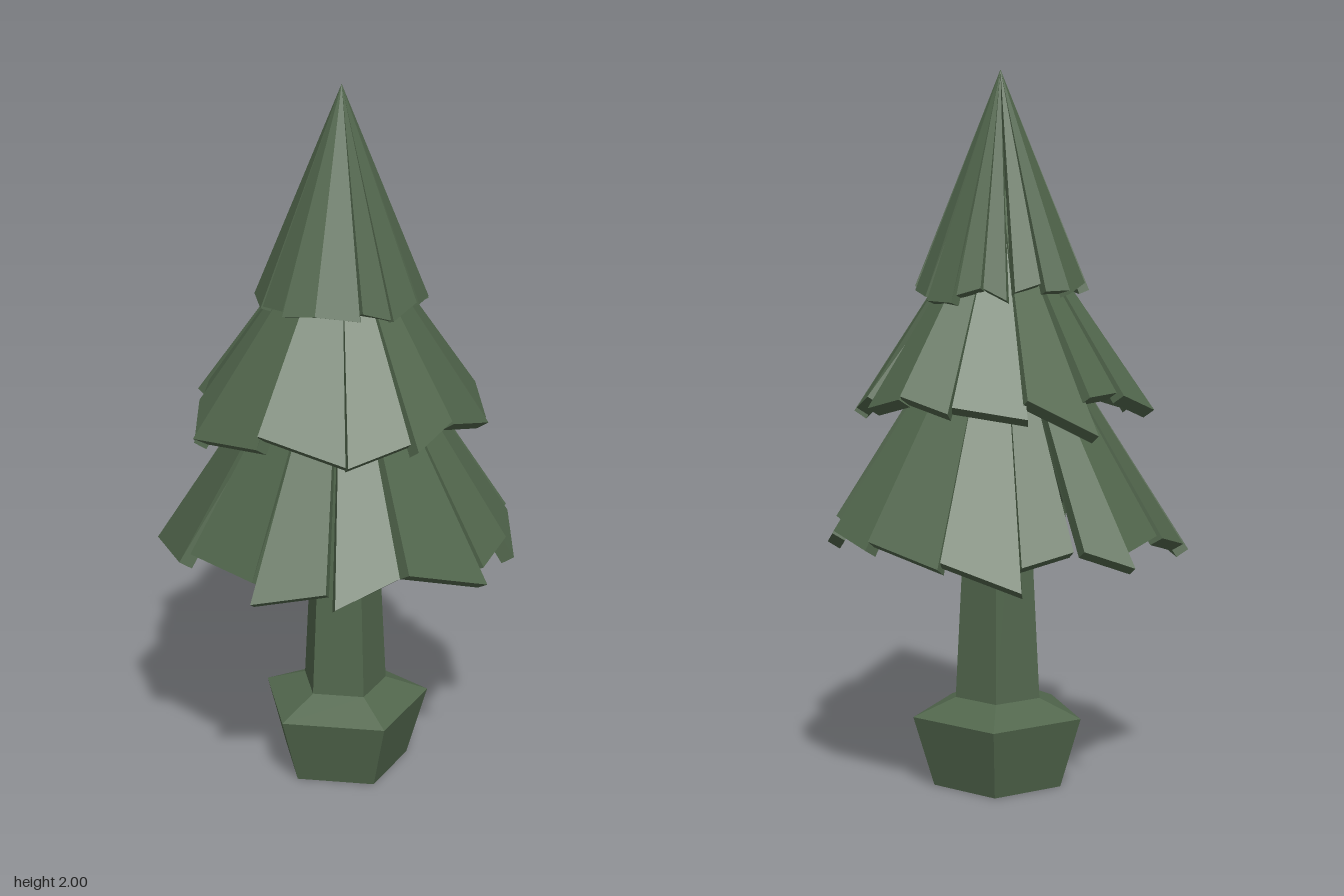
import * as THREE from 'three';

const CENTER_Z = 0.025;

// Outer corners of each bough: x, z, y of one corner, then x, z, y of the other
const TOP = [
  [0, -0.225, 1.41, 0.07, -0.2, 1.41], [0.075, -0.185, 1.43, 0.145, -0.155, 1.41],
  [0.18, -0.155, 1.39, 0.2, -0.09, 1.42], [0.2, -0.08, 1.42, 0.23, -0.02, 1.4],
  [0.245, -0.015, 1.38, 0.24, 0.08, 1.38], [0.235, 0.09, 1.39, 0.19, 0.17, 1.4],
  [0.18, 0.18, 1.41, 0.09, 0.235, 1.42], [0.075, 0.24, 1.43, -0.02, 0.25, 1.4],
  [-0.02, 0.24, 1.4, -0.1, 0.215, 1.43], [-0.11, 0.215, 1.41, -0.19, 0.125, 1.42],
  [-0.185, 0.13, 1.42, -0.23, 0.04, 1.41], [-0.22, 0.03, 1.42, -0.21, -0.06, 1.41],
  [-0.205, -0.075, 1.4, -0.13, -0.185, 1.4], [-0.125, -0.175, 1.42, 0, -0.225, 1.4],
];
const MIDDLE = [
  [-0.03, -0.365, 1.14, 0.095, -0.375, 1.14], [0.1, -0.41, 1.04, 0.255, -0.295, 1.14],
  [0.26, -0.3, 1.09, 0.375, -0.135, 1.12], [0.37, -0.115, 1.1, 0.41, 0.02, 1.14],
  [0.405, 0.03, 1.13, 0.37, 0.18, 1.09], [0.36, 0.19, 1.12, 0.275, 0.315, 1.07],
  [0.27, 0.33, 1.06, 0.06, 0.4, 1.13], [0.055, 0.4, 1.14, -0.1, 0.43, 1.1],
  [-0.11, 0.41, 1.12, -0.28, 0.35, 1.08], [-0.28, 0.34, 1.08, -0.4, 0.13, 1.14],
  [-0.4, 0.125, 1.1, -0.405, -0.13, 1.06], [-0.405, -0.125, 1.05, -0.3, -0.225, 1.12],
  [-0.28, -0.235, 1.12, -0.175, -0.33, 1.12], [-0.175, -0.38, 1.08, -0.055, -0.37, 1.13],
];
const BOTTOM = [
  [0.06, -0.505, 0.69, 0.17, -0.42, 0.74], [0.19, -0.4, 0.74, 0.33, -0.34, 0.71],
  [0.36, -0.365, 0.65, 0.455, -0.165, 0.72], [0.455, -0.155, 0.7, 0.48, 0.075, 0.75],
  [0.465, 0.1, 0.72, 0.425, 0.26, 0.75], [0.415, 0.275, 0.74, 0.285, 0.425, 0.68],
  [0.255, 0.42, 0.75, 0.11, 0.475, 0.72], [0.1, 0.5, 0.68, -0.155, 0.455, 0.77],
  [-0.17, 0.435, 0.76, -0.345, 0.37, 0.7], [-0.355, 0.345, 0.74, -0.485, 0.19, 0.7],
  [-0.46, 0.17, 0.75, -0.46, -0.085, 0.75], [-0.475, -0.115, 0.72, -0.335, -0.38, 0.67],
  [-0.305, -0.385, 0.69, -0.165, -0.42, 0.73], [-0.14, -0.42, 0.74, 0.025, -0.45, 0.72],
];

// Wedge-shaped board from the tier's apex to its two outer corners
function boughGeometry([x1, z1, y1, x2, z2, y2], apexY, thickness) {
  const apex = new THREE.Vector3(0, apexY, CENTER_Z);
  let a = new THREE.Vector3(x1, y1, z1);
  let b = new THREE.Vector3(x2, y2, z2);
  const normal = new THREE.Triangle(apex, a, b).getNormal(new THREE.Vector3());
  if (normal.y < 0) {
    [a, b] = [b, a];
    normal.negate();
  }
  const lower = (p) => p.clone().addScaledVector(normal, -thickness);
  const lowApex = apex.clone().setY(apexY - thickness * 2);
  const lowA = lower(a), lowB = lower(b);
  const faces = [
    apex, a, b, lowApex, lowB, lowA,
    a, lowA, lowB, a, lowB, b,
    apex, lowApex, lowA, apex, lowA, a,
    b, lowB, lowApex, b, lowApex, apex,
  ];
  const geometry = new THREE.BufferGeometry().setFromPoints(faces);
  geometry.computeVertexNormals();
  return geometry;
}

export function createModel() {
  const model = new THREE.Group();
  model.name = 'pineTree';
  const green = new THREE.MeshStandardMaterial({ color: 0x52674d });
  green.name = 'pineGreen';
  green.flatShading = true;

  // Three overlapping tiers of boughs
  const addTier = (name, boughs, apexY, thickness) => {
    const tier = new THREE.Group();
    tier.name = name;
    boughs.forEach((corners, i) => {
      const bough = new THREE.Mesh(boughGeometry(corners, apexY, thickness), green);
      bough.name = `bough${i + 1}`;
      tier.add(bough);
    });
    model.add(tier);
  };
  addTier('topBoughs', TOP, 2, 0.03);
  addTier('middleBoughs', MIDDLE, 1.69, 0.04);
  addTier('bottomBoughs', BOTTOM, 1.5, 0.04);

  // Five-sided stacked sections of the pot and trunk
  const addSection = (name, topRadius, bottomRadius, y0, y1) => {
    const geometry = new THREE.CylinderGeometry(topRadius, bottomRadius, y1 - y0, 5);
    const section = new THREE.Mesh(geometry, green);
    section.name = name;
    section.position.set(0.005, (y0 + y1) / 2, CENTER_Z + 0.005);
    section.rotation.y = -0.27;
    model.add(section);
  };
  addSection('pot', 0.247, 0.187, 0, 0.2);
  addSection('potShoulder', 0.124, 0.247, 0.2, 0.25);
  addSection('trunk', 0.075, 0.124, 0.25, 1.2);

  return model;
}
